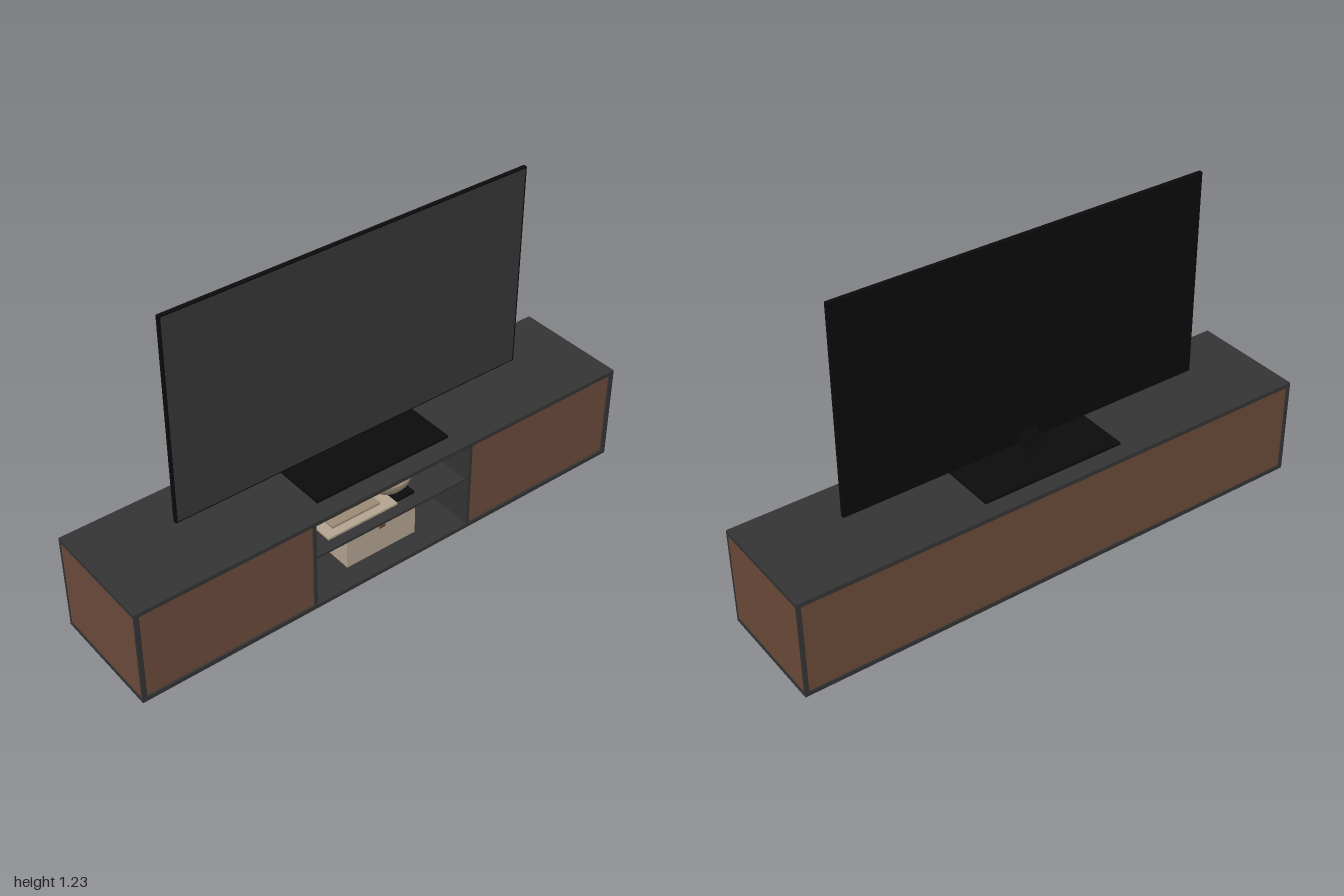
import * as THREE from 'three';

const material = (name, color) => {
  const m = new THREE.MeshStandardMaterial({ color });
  m.name = name;
  return m;
};

export function createModel() {
  const charcoal = material('charcoal', 0x343434);
  const walnut = material('walnut', 0x6b4a3a);
  const black = material('black', 0x0b0b0b);
  const screenGrey = material('screen grey', 0x363636);
  const cream = material('cream', 0xb3a48f);
  const ceramic = material('ceramic', 0x9a8a74);
  ceramic.side = THREE.DoubleSide;

  const model = new THREE.Group();
  model.name = 'televisionCabinet';
  const group = (name) => {
    const g = new THREE.Group();
    g.name = name;
    model.add(g);
    return g;
  };
  // Box given by its minimum and maximum on each axis
  const box = (parent, name, mat, [x0, x1], [y0, y1], [z0, z1]) => {
    const mesh = new THREE.Mesh(new THREE.BoxGeometry(x1 - x0, y1 - y0, z1 - z0), mat);
    mesh.position.set((x0 + x1) / 2, (y0 + y1) / 2, (z0 + z1) / 2);
    mesh.name = name;
    parent.add(mesh);
    return mesh;
  };

  // Cabinet carcass on a recessed plinth
  const cabinet = group('cabinet');
  box(cabinet, 'plinth', charcoal, [-0.915, 0.915], [0, 0.024], [-0.175, 0.18]);
  box(cabinet, 'plinthSpacer', charcoal, [-0.88, 0.88], [0.02, 0.034], [-0.15, 0.15]);
  box(cabinet, 'bottomBoard', charcoal, [-1, 1], [0.03, 0.046], [-0.218, 0.22]);
  box(cabinet, 'topBoard', charcoal, [-1, 1], [0.386, 0.402], [-0.218, 0.22]);
  box(cabinet, 'backPanel', walnut, [-0.985, 0.985], [0.046, 0.386], [-0.214, -0.202]);
  box(cabinet, 'nicheBack', charcoal, [-0.325, 0.325], [0.046, 0.386], [-0.202, -0.19]);

  for (const s of [-1, 1]) {
    const span = (a, b) => (s > 0 ? [a, b] : [-b, -a]);
    const side = s > 0 ? 'left' : 'right';
    box(cabinet, side + 'EndPanel', walnut, span(0.985, 0.998), [0.046, 0.386], [-0.21, 0.213]);
    box(cabinet, side + 'FrontEdge', charcoal, span(0.982, 1), [0.046, 0.386], [0.213, 0.22]);
    box(cabinet, side + 'BackEdge', charcoal, span(0.985, 1), [0.046, 0.386], [-0.218, -0.21]);
    box(cabinet, side + 'Door', walnut, span(0.338, 0.978), [0.05, 0.382], [0.2, 0.216]);
    box(cabinet, side + 'NicheWall', charcoal, span(0.323, 0.335), [0.046, 0.386], [-0.202, 0.218]);
  }
  box(cabinet, 'shelf', charcoal, [-0.323, 0.323], [0.224, 0.234], [-0.19, 0.2]);

  // Objects in the open niche
  const decor = group('nicheObjects');
  box(decor, 'storageBox', cream, [-0.14, 0.155], [0.046, 0.174], [-0.08, 0.14]);
  box(decor, 'boxPull', walnut, [-0.003, 0.022], [0.146, 0.175], [0.139, 0.143]);
  box(decor, 'largeBook', cream, [-0.24, 0.05], [0.244, 0.252], [-0.03, 0.17]);
  box(decor, 'largeBookCover', black, [-0.18, 0.14], [0.234, 0.244], [-0.05, 0.15]);
  box(decor, 'smallBook', ceramic, [-0.2, 0], [0.252, 0.26], [0, 0.14]);
  const bowlProfile = [[0, 0], [0.035, 0], [0.06, 0.018], [0.078, 0.04], [0.086, 0.062],
    [0.081, 0.062], [0.07, 0.038], [0.05, 0.018], [0, 0.008]].map(([r, y]) => new THREE.Vector2(r, y));
  const bowl = new THREE.Mesh(new THREE.LatheGeometry(bowlProfile, 32), ceramic);
  bowl.name = 'bowl';
  bowl.position.set(0.075, 0.246, 0.08);
  decor.add(bowl);

  // Flat television
  const tv = group('television');
  box(tv, 'televisionBody', black, [-0.707, 0.707], [0.457, 1.226], [-0.007, 0.007]);
  box(tv, 'screen', screenGrey, [-0.7, 0.7], [0.463, 1.22], [0.006, 0.009]);

  // Stand plate with a curved neck behind the body
  box(tv, 'standPlate', black, [-0.272, 0.278], [0.408, 0.418], [-0.16, 0.155]);
  box(tv, 'standPlateFoot', charcoal, [-0.26, 0.266], [0.402, 0.408], [-0.15, 0.145]);
  const path = new THREE.CatmullRomCurve3([[0.503, 0.006], [0.475, 0.024], [0.44, 0.042], [0.425, 0.056], [0.417, 0.07]]
    .map(([y, d]) => new THREE.Vector3(0, y, -d)));
  const outline = path.getPoints(16);
  const shape = new THREE.Shape();
  outline.forEach((p, i) => (i ? shape.lineTo(p.z, p.y) : shape.moveTo(p.z, p.y)));
  outline.reverse().forEach((p) => shape.lineTo(p.z + 0.006, p.y - 0.004));
  const neckGeometry = new THREE.ExtrudeGeometry(shape, { depth: 0.068, bevelEnabled: false });
  neckGeometry.translate(0, 0, -0.034).rotateY(-Math.PI / 2);
  const neck = new THREE.Mesh(neckGeometry, black);
  neck.name = 'standNeck';
  tv.add(neck);

  return model;
}
